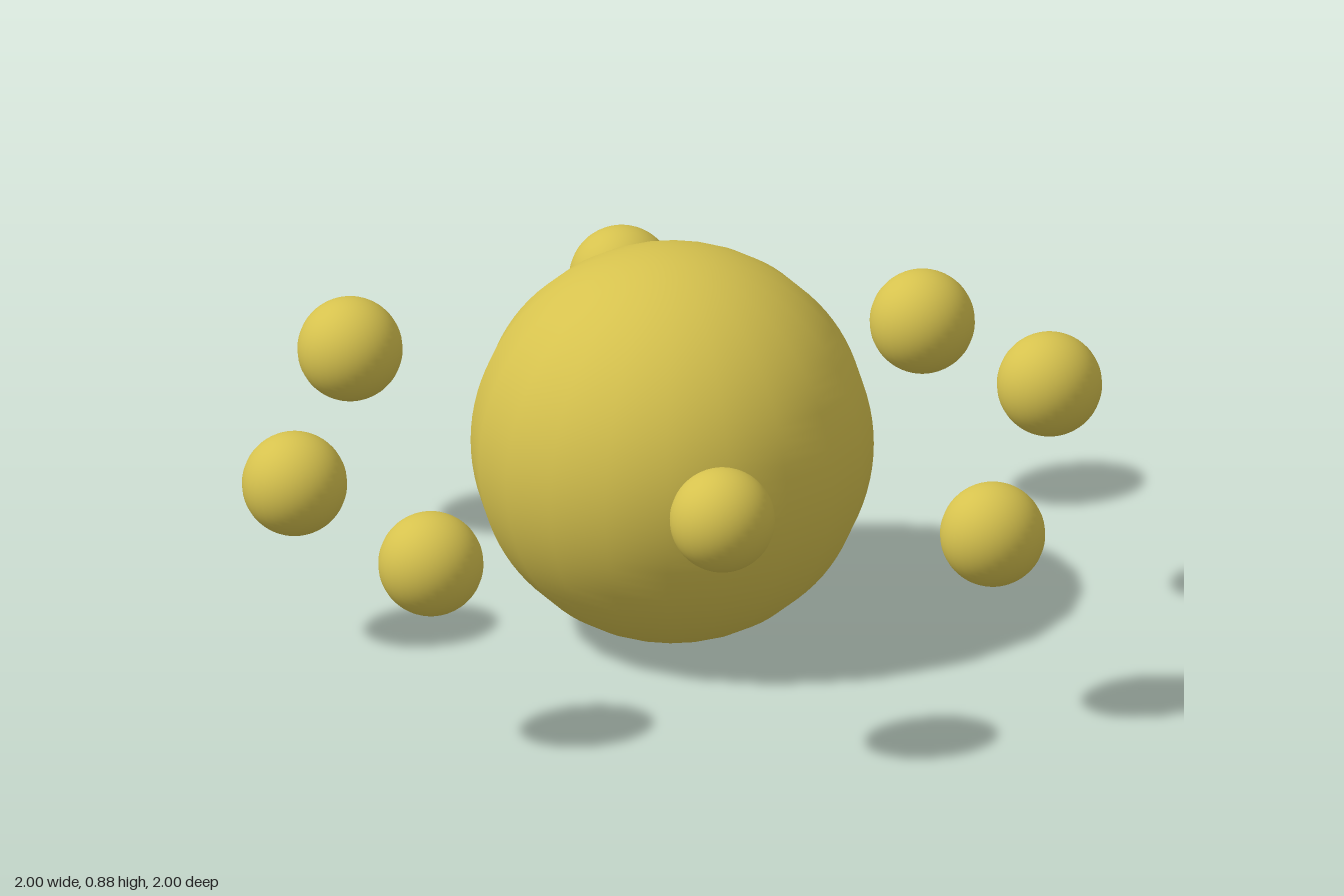
import * as THREE from 'three';

export function createModel() {
  const group = new THREE.Group();
  const gold = new THREE.MeshStandardMaterial({ color: 0xd6c24e });

  function addBall(name, geometry, x, y, z) {
    const mesh = new THREE.Mesh(geometry, gold);
    mesh.name = name;
    mesh.position.set(x, y, z);
    group.add(mesh);
  }

  // Large central ball: 20 sides around, finely divided in height
  addBall('centralBall', new THREE.SphereGeometry(0.44, 20, 48), 0, 0.44, 0);

  // Ring of eight small balls, the diagonal ones at differing heights
  const small = new THREE.SphereGeometry(0.115, 32, 32);
  const ring = [
    ['leftBall', 0.88, 0.44, 0],
    ['frontLeftBall', 0.585, 0.59, 0.585],
    ['frontBall', 0.01, 0.44, 0.88],
    ['frontRightBall', -0.59, 0.385, 0.585],
    ['rightBall', -0.885, 0.44, 0],
    ['backRightBall', -0.59, 0.49, -0.59],
    ['backBall', 0.01, 0.44, -0.885],
    ['backLeftBall', 0.585, 0.53, -0.59],
  ];
  for (const [name, x, y, z] of ring) addBall(name, small, x, y, z);

  return group;
}
